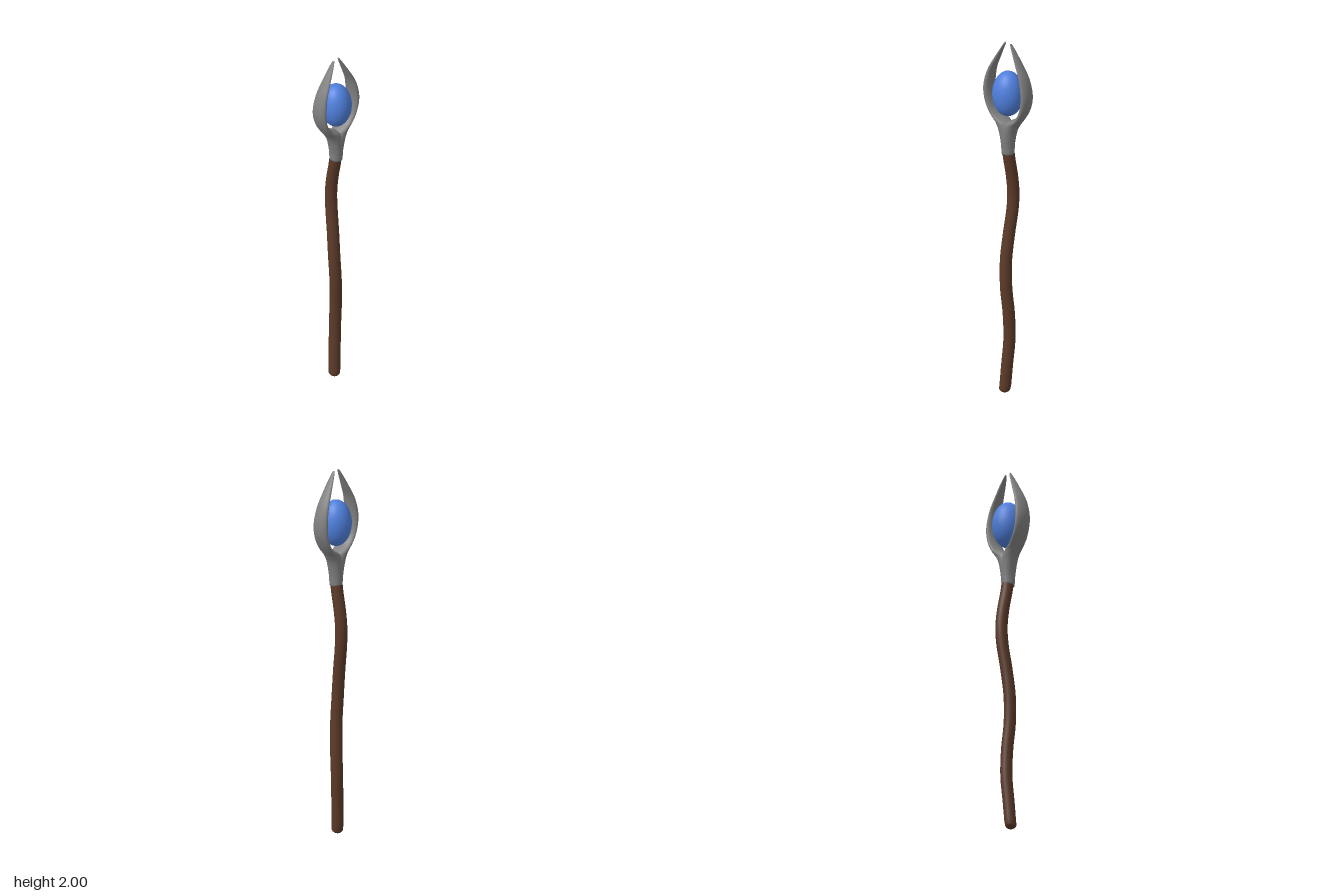
import * as THREE from 'three';

// Skin over elliptical horizontal rings [cx, y, cz, rx, rz], listed bottom to top
function loft(rings, sides) {
  const pos = [], idx = [];
  rings.forEach(([cx, y, cz, rx, rz], i) => {
    for (let j = 0; j < sides; j++) {
      const a = (j / sides) * Math.PI * 2;
      pos.push(cx + rx * Math.cos(a), y, cz + rz * Math.sin(a));
      if (i === rings.length - 1) continue;
      const k = (j + 1) % sides;
      const p = i * sides + j, q = i * sides + k;
      idx.push(p, p + sides, q, q, p + sides, q + sides);
    }
  });
  const g = new THREE.BufferGeometry();
  g.setAttribute('position', new THREE.Float32BufferAttribute(pos, 3));
  g.setIndex(idx);
  g.computeVertexNormals();
  return g;
}

const spline = (pts) => new THREE.CatmullRomCurve3(pts.map((p) => new THREE.Vector3(...p)), false, 'catmullrom');

function addMesh(group, name, geometry, color) {
  const mesh = new THREE.Mesh(geometry, new THREE.MeshStandardMaterial({ color }));
  mesh.name = name;
  group.add(mesh);
  return mesh;
}

// Gently crooked wooden shaft with a rounded foot
function shaftGeometry() {
  const path = spline([
    [-0.017, 0, 0.003], [-0.008, 0.15, -0.004], [0.002, 0.3, -0.011], [0.002, 0.45, -0.006],
    [-0.008, 0.6, 0.003], [-0.013, 0.75, -0.002], [-0.006, 0.9, -0.018], [0.002, 1.03, -0.036],
    [0.004, 1.13, -0.041], [0.003, 1.23, -0.031], [0.001, 1.33, -0.012], [0, 1.4, -0.002],
  ]);
  const rings = [];
  // Foot: quarter-round profile
  const foot = path.getPoint(0);
  for (let i = 0; i < 6; i++) {
    const a = (i / 6) * Math.PI / 2;
    const r = 0.03 * Math.sin(a);
    rings.push([foot.x, 0.025 * (1 - Math.cos(a)), foot.z, r, r]);
  }
  for (let i = 2; i <= 80; i++) {
    const p = path.getPoint(i / 80);
    const r = 0.03 + 0.0015 * Math.min(1, i / 20);
    rings.push([p.x, p.y, p.z, r, r]);
  }
  return loft(rings, 24);
}

// One claw: [outer x, y, inner x, half depth]
function prongGeometry() {
  const stations = [
    [0.033, 1.37, -0.033, 0.034], [0.036, 1.43, -0.034, 0.038], [0.05, 1.5, -0.028, 0.042],
    [0.069, 1.54, -0.012, 0.043], [0.081, 1.56, 0.016, 0.044], [0.096, 1.583, 0.052, 0.044],
    [0.116, 1.62, 0.08, 0.045], [0.133, 1.665, 0.095, 0.045], [0.14, 1.715, 0.1, 0.045],
    [0.134, 1.77, 0.096, 0.042], [0.115, 1.83, 0.084, 0.036], [0.084, 1.89, 0.059, 0.027],
    [0.05, 1.95, 0.034, 0.017], [0.025, 1.992, 0.016, 0.007], [0.019, 2, 0.019, 0],
  ];
  const edges = spline(stations.map(([o, y, n]) => [o, y, n]));
  const depth = spline(stations.map(([, y, , d]) => [0, y, d]));
  const rings = [[0, 1.37, 0, 0, 0]];
  for (let i = 0; i <= 84; i++) {
    const e = edges.getPoint(i / 84);
    const d = depth.getPoint(i / 84);
    rings.push([(e.x + e.z) / 2, e.y, 0, Math.max(0, (e.x - e.z) / 2), Math.max(0, d.z)]);
  }
  return loft(rings, 32);
}

export function createModel() {
  const model = new THREE.Group();
  model.name = 'staff';

  addMesh(model, 'shaft', shaftGeometry(), 0x5c3a28);

  // Two claws that merge into the socket at the base
  const head = new THREE.Group();
  head.name = 'clawHead';
  head.position.z = -0.002;
  const prong = prongGeometry();
  addMesh(head, 'leftProng', prong, 0x808080);
  addMesh(head, 'rightProng', prong, 0x808080).rotation.y = Math.PI;

  // Egg-shaped gem floating between the claws
  const gem = addMesh(head, 'gem', new THREE.SphereGeometry(1, 40, 28), 0x4f7fdc);
  gem.scale.set(0.081, 0.124, 0.081);
  gem.position.y = 1.71;
  model.add(head);

  return model;
}
